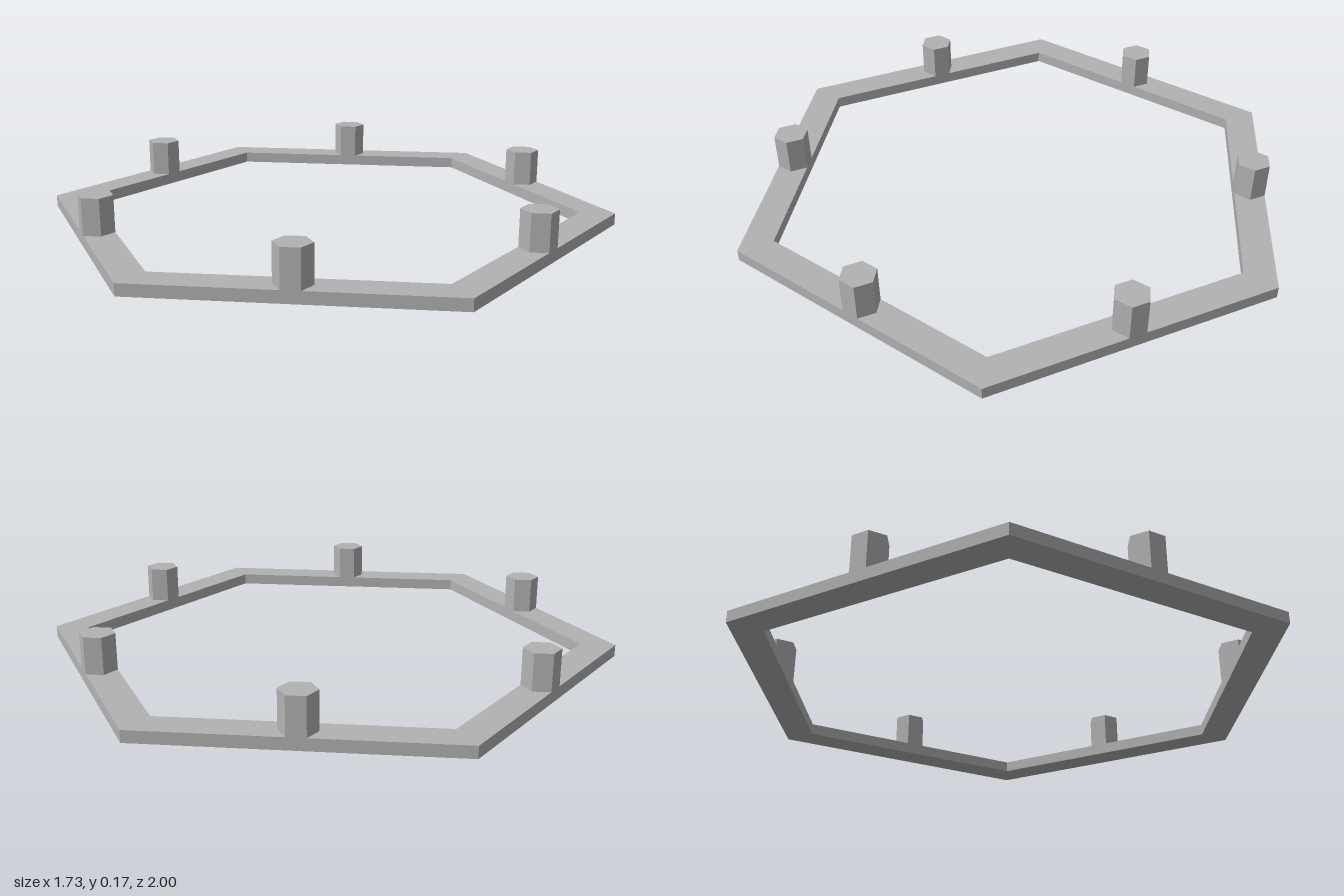
import * as THREE from 'three';

const OUTER = 1, INNER = 0.88, RING_H = 0.04, PEG_TOP = 0.165;

// Hexagon with corners on the +z and -z axes
function hexPoints(r) {
  return Array.from({ length: 6 }, (_, i) => {
    const a = Math.PI / 2 + (i * Math.PI) / 3;
    return new THREE.Vector2(r * Math.cos(a), r * Math.sin(a));
  });
}

export function createModel() {
  const model = new THREE.Group();
  model.name = 'hexagonalFrame';
  const grey = new THREE.MeshStandardMaterial({ color: 0xb2b2b2 });
  grey.name = 'plainGrey';

  // Flat hexagonal ring
  const shape = new THREE.Shape(hexPoints(OUTER));
  shape.holes.push(new THREE.Path(hexPoints(INNER)));
  const ringGeo = new THREE.ExtrudeGeometry(shape, { depth: RING_H, bevelEnabled: false });
  ringGeo.rotateX(-Math.PI / 2);
  const ring = new THREE.Mesh(ringGeo, grey);
  ring.name = 'ring';
  model.add(ring);

  // One hexagonal peg at the middle of each side, as wide as the ring
  const apothem = Math.cos(Math.PI / 6);
  const pegDistance = ((OUTER + INNER) / 2) * apothem;
  const pegHeight = PEG_TOP - RING_H;
  const pegGeo = new THREE.CylinderGeometry(0.06, 0.06, pegHeight, 6).toNonIndexed();
  pegGeo.computeVertexNormals();
  for (let i = 0; i < 6; i++) {
    const a = (i * Math.PI) / 3;
    const peg = new THREE.Mesh(pegGeo, grey);
    peg.name = `peg${i + 1}`;
    peg.position.set(pegDistance * Math.cos(a), RING_H + pegHeight / 2, pegDistance * Math.sin(a));
    model.add(peg);
  }
  return model;
}
